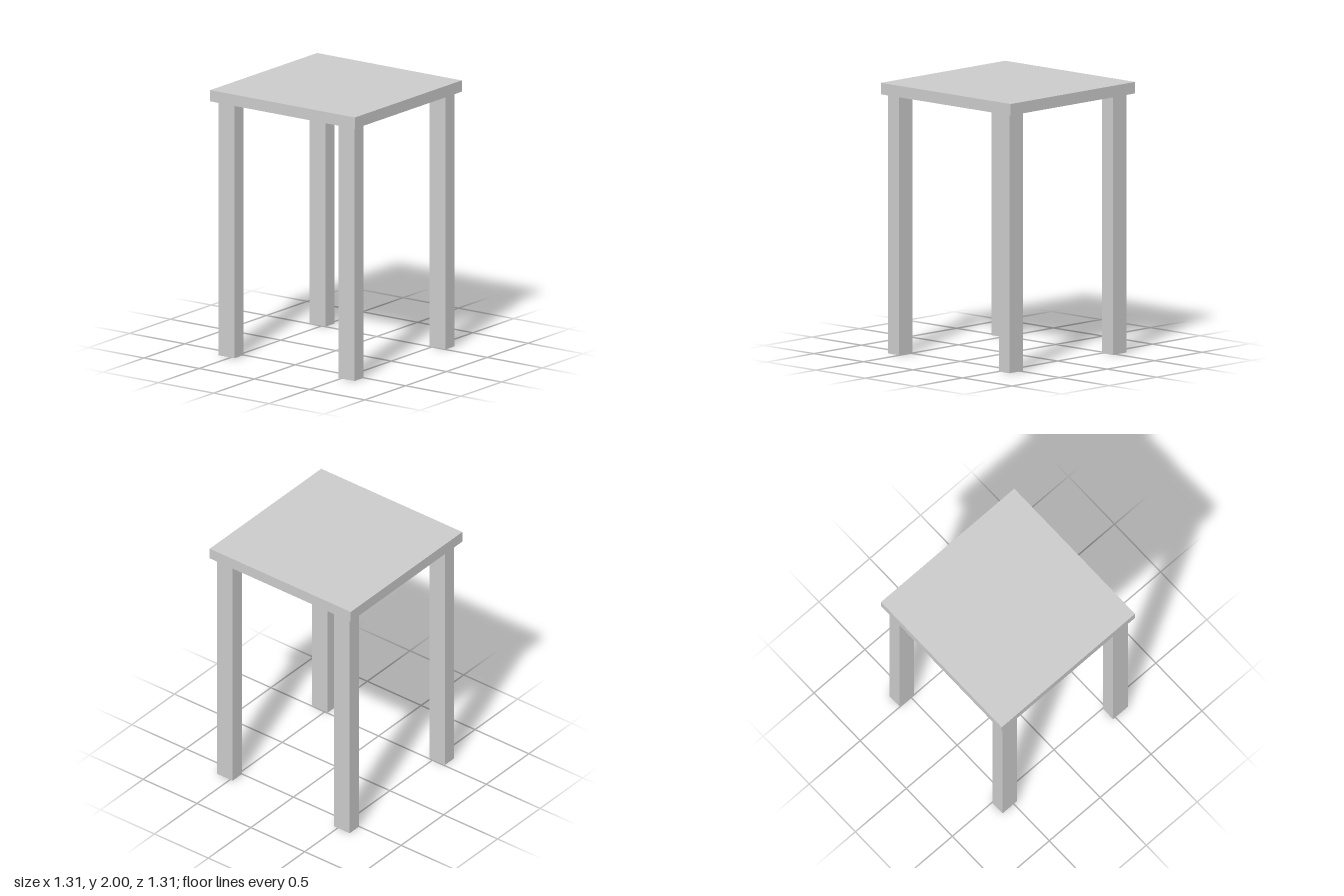
import * as THREE from 'three';

export function createModel() {
  const group = new THREE.Group();
  const material = new THREE.MeshStandardMaterial({ color: 0xcccccc, flatShading: true });

  const height = 2, topSize = 1.31, topThickness = 0.085;
  const legHeight = height - topThickness;

  const addBox = (name, [w, h, d], [x, y, z]) => {
    const mesh = new THREE.Mesh(new THREE.BoxGeometry(w, h, d), material);
    mesh.name = name;
    mesh.position.set(x, y, z);
    group.add(mesh);
  };

  // Square slab top
  addBox('tableTop', [topSize, topThickness, topSize], [0, height - topThickness / 2, 0]);

  // Four straight legs, a little deeper than wide
  for (const [xName, x] of [['Left', 0.557], ['Right', -0.56]]) {
    for (const [zName, z] of [['front', 0.549], ['back', -0.538]]) {
      addBox(`${zName}${xName}Leg`, [0.108, legHeight, 0.144], [x, legHeight / 2, z]);
    }
  }

  return group;
}
